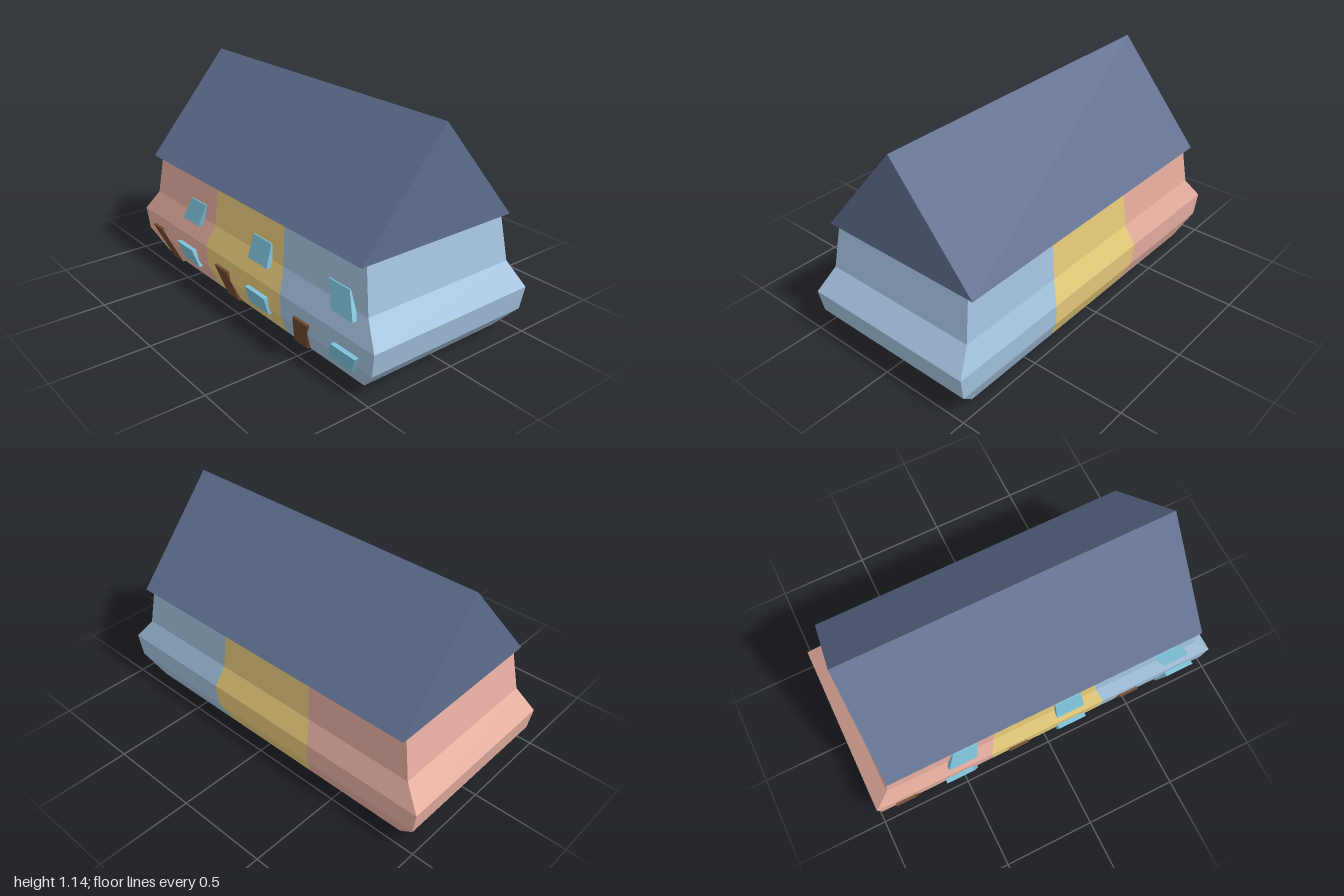
import * as THREE from 'three';

const COLORS = { red: 0xe6aea0, yellow: 0xe6cb7a, blue: 0xa3c2dd, roof: 0x5f6e8e, glass: 0x7dc0d8, door: 0x70472f };

function part(name, geometry, color) {
  const mesh = new THREE.Mesh(geometry, new THREE.MeshStandardMaterial({ color, flatShading: true }));
  mesh.name = name;
  return mesh;
}

// Skins stacked four-cornered rings { y, left, right, front, back };
// sides lists the walls to build: 0 front, 1 right end, 2 back, 3 left end.
function loft(rings, sides = [0, 1, 2, 3]) {
  const corners = rings.map(({ y, left, right, front, back }) => [
    [left, y, front], [right, y, front], [right, y, back], [left, y, back],
  ]);
  const positions = [];
  const quad = (a, b, c, d) => positions.push(...a, ...b, ...c, ...a, ...c, ...d);
  for (let i = 0; i < corners.length - 1; i++) {
    const low = corners[i], high = corners[i + 1];
    for (const s of sides) {
      const t = (s + 1) % 4;
      quad(low[s], low[t], high[t], high[s]);
    }
  }
  quad(...corners[corners.length - 1]);
  quad(...[...corners[0]].reverse());
  const geometry = new THREE.BufferGeometry();
  geometry.setAttribute('position', new THREE.Float32BufferAttribute(positions, 3));
  geometry.computeVertexNormals();
  return geometry;
}

export function createModel() {
  const group = new THREE.Group();
  group.name = 'rowHouses';

  // Bulging wall profile: height, half length, half width of middle house, half depth
  const profile = [
    [0, 0.87, 0.29, 0.42],
    [0.123, 0.98, 0.325, 0.477],
    [0.245, 1.0, 0.333, 0.485],
    [0.365, 0.908, 0.302, 0.44],
    [0.6, 0.868, 0.29, 0.42],
  ];
  const midZ = -0.01;

  // Three houses side by side
  const houses = [
    ['leftmostHouse', COLORS.red, (e, m) => [-e, -m], [0, 2, 3]],
    ['middleHouse', COLORS.yellow, (e, m) => [-m, m], [0, 2]],
    ['rightmostHouse', COLORS.blue, (e, m) => [m, e], [0, 1, 2]],
  ];
  for (const [name, color, span, sides] of houses) {
    const rings = profile.map(([y, end, mid, depth]) => {
      const [left, right] = span(end, mid);
      return { y, left, right, front: midZ + depth, back: midZ - depth };
    });
    group.add(part(name, loft(rings, sides), color));
  }

  // Shared gable roof
  const gable = new THREE.Shape([
    new THREE.Vector2(-0.455, 0.596),
    new THREE.Vector2(0.472, 0.596),
    new THREE.Vector2(0.01, 1.14),
  ]);
  const roof = new THREE.ExtrudeGeometry(gable, { depth: 1.77, bevelEnabled: false });
  roof.rotateY(Math.PI / 2).translate(-0.885, 0, 0);
  group.add(part('roof', roof, COLORS.roof));

  // Skewed slabs on the front wall: x spans at the bottom and at the top
  const slabs = [
    {
      name: 'door', color: COLORS.door, y: [0.003, 0.18], z: [0.428, 0.487], thick: 0.03,
      spans: [[-0.785, -0.68, -0.9, -0.79], [-0.205, -0.1, -0.235, -0.12], [0.38, 0.485, 0.445, 0.555]],
    },
    {
      name: 'lowerWindow', color: COLORS.glass, y: [0.085, 0.18], z: [0.47, 0.496], thick: 0.04,
      spans: [[-0.575, -0.42, -0.61, -0.45], [0.06, 0.225, 0.06, 0.225], [0.69, 0.855, 0.735, 0.9]],
    },
    {
      name: 'upperWindow', color: COLORS.glass, y: [0.328, 0.447], z: [0.467, 0.43], thick: 0.035,
      spans: [[-0.575, -0.415, -0.53, -0.39], [0.055, 0.215, 0.055, 0.205], [0.705, 0.85, 0.64, 0.785]],
    },
  ];
  for (const { name, color, y, z, thick, spans } of slabs) {
    spans.forEach((x, i) => {
      const rings = [0, 1].map((k) => ({
        y: y[k], left: x[2 * k], right: x[2 * k + 1], front: z[k], back: z[k] - thick,
      }));
      group.add(part(name + (i + 1), loft(rings), color));
    });
  }
  return group;
}
